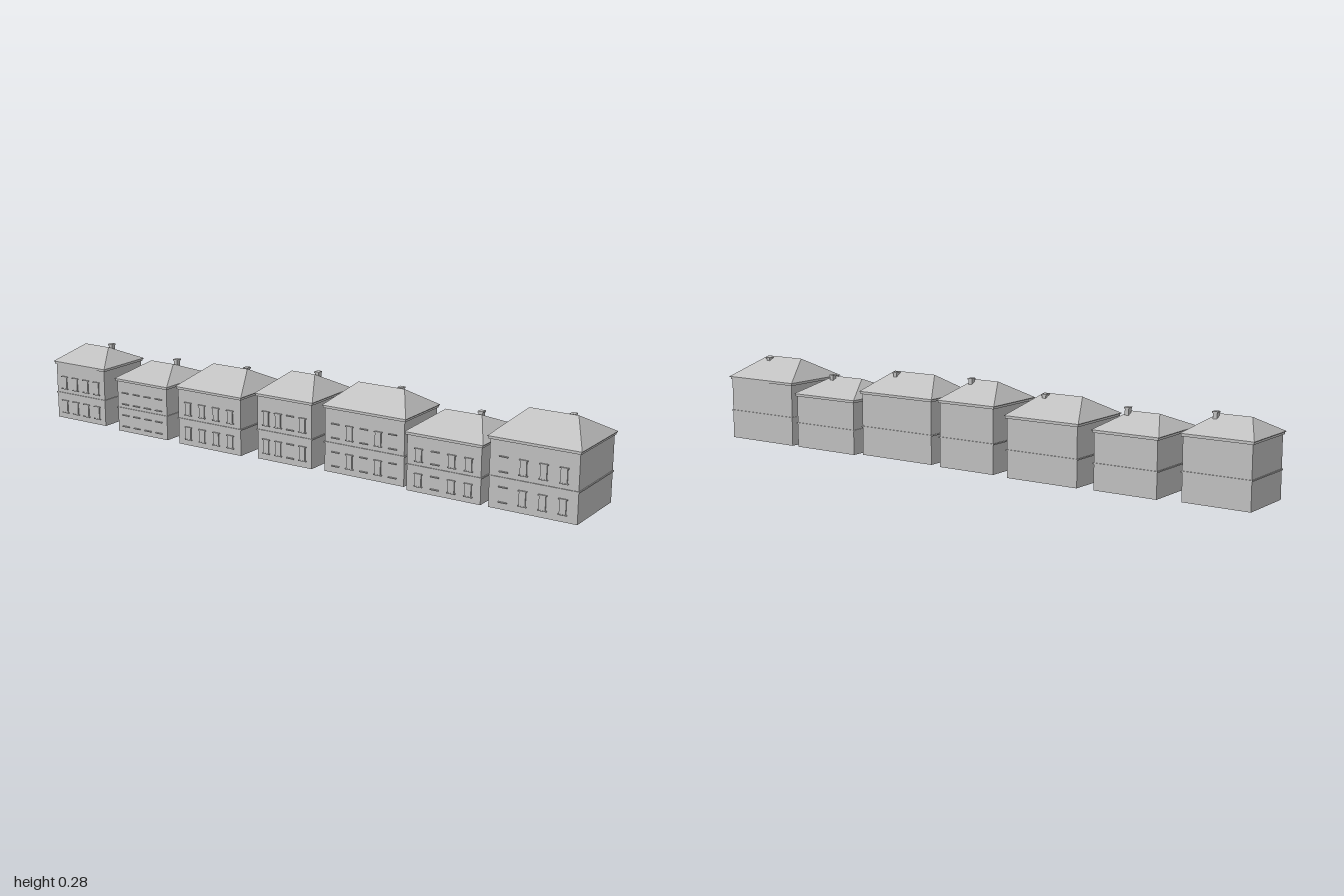
import * as THREE from 'three';

const stone = new THREE.MeshStandardMaterial({ color: 0xc0c0c0 });
stone.name = 'grey stone';

// roof x range, roof half depth, eave and ridge heights, ridge x range, chimney x and top,
// bays: I = tall framed window, - = sill and lintel only
const HOUSES = [
  { x0: -1.0, x1: -0.768, d: 0.105, eave: 0.2, top: 0.252, r0: -0.943, r1: -0.837, cx: -0.838, ct: 0.261, bays: 'IIII' },
  { x0: -0.709, x1: -0.482, d: 0.12, eave: 0.182, top: 0.231, r0: -0.645, r1: -0.549, cx: -0.548, ct: 0.245, bays: '----' },
  { x0: -0.441, x1: -0.173, d: 0.126, eave: 0.194, top: 0.257, r0: -0.377, r1: -0.238, cx: -0.254, ct: 0.257, bays: 'IIII' },
  { x0: -0.127, x1: 0.094, d: 0.115, eave: 0.215, top: 0.276, r0: -0.062, r1: 0.027, cx: 0.027, ct: 0.282, bays: 'II-I' },
  { x0: 0.123, x1: 0.423, d: 0.105, eave: 0.212, top: 0.276, r0: 0.19, r1: 0.356, cx: 0.334, ct: 0.276, bays: '-I-I-' },
  { x0: 0.431, x1: 0.694, d: 0.126, eave: 0.182, top: 0.236, r0: 0.5, r1: 0.623, cx: 0.612, ct: 0.243, bays: 'I-II' },
  { x0: 0.706, x1: 1.0, d: 0.126, eave: 0.215, top: 0.283, r0: 0.775, r1: 0.93, cx: 0.906, ct: 0.281, bays: '-III' },
];

// box standing on y
function box(parent, name, w, h, d, x, y, z) {
  const m = new THREE.Mesh(new THREE.BoxGeometry(w, h, d), stone);
  m.name = name;
  m.position.set(x, y + h / 2, z);
  parent.add(m);
}

// closed hipped roof with a thin eave edge
function hipRoof({ x0, x1, d, eave, top, r0, r1 }) {
  const e = eave + 0.002;
  const ring = y => [[x0, y, d], [x1, y, d], [x1, y, -d], [x0, y, -d]];
  const low = ring(eave), up = ring(e);
  const a = [r0, top, 0], b = [r1, top, 0];
  const pos = [];
  const face = (...p) => {
    for (let i = 1; i < p.length - 1; i++) pos.push(...p[0], ...p[i], ...p[i + 1]);
  };
  for (let i = 0; i < 4; i++) {
    const j = (i + 1) % 4;
    face(low[i], low[j], up[j], up[i]);
  }
  face(up[0], up[1], b, a);
  face(up[1], up[2], b);
  face(up[2], up[3], a, b);
  face(up[3], up[0], a);
  face(low[3], low[2], low[1], low[0]);
  const g = new THREE.BufferGeometry();
  g.setAttribute('position', new THREE.Float32BufferAttribute(pos, 3));
  g.computeVertexNormals();
  const m = new THREE.Mesh(g, stone);
  m.name = 'hippedRoof';
  return m;
}

function buildHouse(h) {
  const house = new THREE.Group();
  house.name = 'house';
  const over = 0.007;
  const w = h.x1 - h.x0 - 2 * over, d = 2 * (h.d - over);
  const cx = (h.x0 + h.x1) / 2, front = d / 2, floor2 = h.eave * 0.44;

  box(house, 'walls', w, h.eave, d, cx, 0, 0);
  box(house, 'stringCourse', w + 0.006, 0.004, d + 0.006, cx, floor2, 0);
  box(house, 'cornice', w + 0.008, 0.007, d + 0.008, cx, h.eave - 0.007, 0);
  house.add(hipRoof(h));

  // chimney with a cap, set just behind the ridge
  box(house, 'chimneyStack', 0.013, h.ct - h.eave - 0.02, 0.016, h.cx, h.eave + 0.015, -0.019);
  box(house, 'chimneyCap', 0.017, 0.005, 0.02, h.cx, h.ct - 0.005, -0.019);

  // two rows of windows on the front
  const step = w / h.bays.length * 0.9;
  for (const y of [h.eave * 0.11, floor2 + h.eave * 0.1]) {
    [...h.bays].forEach((type, i) => {
      const x = cx + (i - (h.bays.length - 1) / 2) * step;
      const wh = h.eave * 0.2;
      if (type === 'I') box(house, 'window', 0.021, wh, 0.005, x, y, front + 0.0015);
      box(house, 'sill', 0.028, 0.003, 0.007, x, y - 0.003, front + 0.0015);
      box(house, 'lintel', 0.028, 0.003, 0.007, x, y + wh, front + 0.0015);
    });
  }
  return house;
}

export function createModel() {
  const row = new THREE.Group();
  row.name = 'rowOfHouses';
  HOUSES.forEach(h => row.add(buildHouse(h)));
  return row;
}
